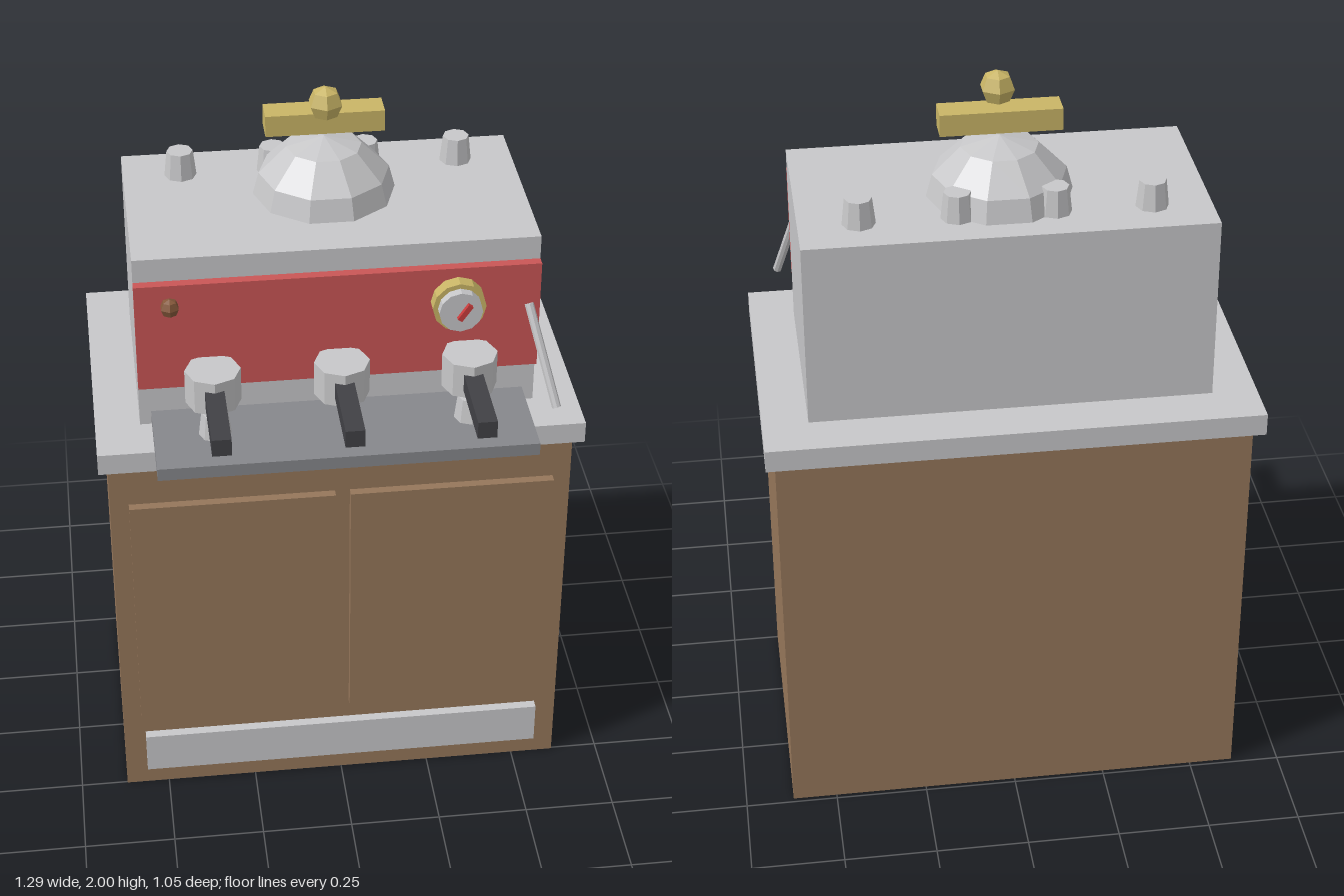
import * as THREE from 'three';

const mat = (name, color) => {
  const m = new THREE.MeshStandardMaterial({ color, flatShading: true });
  m.name = name;
  return m;
};

export function createModel() {
  const steel = mat('steel', 0xc7c7c9);
  const wood = mat('wood', 0x95765a);
  const red = mat('red panel', 0xc95656);
  const brass = mat('brass', 0xc9b566);
  const trayGrey = mat('tray grey', 0x86878b);
  const black = mat('black handle', 0x414145);
  const amber = mat('indicator brown', 0x85583a);
  const needleRed = mat('needle red', 0xc83c3c);

  const model = new THREE.Group();
  model.name = 'espressoStation';

  const add = (name, geometry, material, x = 0, y = 0, z = 0) => {
    const mesh = new THREE.Mesh(geometry, material);
    mesh.name = name;
    mesh.position.set(x, y, z);
    model.add(mesh);
    return mesh;
  };
  // Box given by its limits on each axis
  const box = (name, material, [x0, x1], [y0, y1], [z0, z1]) =>
    add(name, new THREE.BoxGeometry(x1 - x0, y1 - y0, z1 - z0), material,
      (x0 + x1) / 2, (y0 + y1) / 2, (z0 + z1) / 2);
  const cup = (name, x, y, z, h) =>
    add(name, new THREE.CylinderGeometry(0.035, 0.043, h, 8), steel, x, y + h / 2, z);
  // Disc facing the front
  const disc = (name, material, r, x, y, z0, z1) => {
    const g = new THREE.CylinderGeometry(r, r, z1 - z0, 12).rotateX(Math.PI / 2);
    return add(name, g, material, x, y, (z0 + z1) / 2);
  };

  // Cabinet with two doors and a kick plate
  box('cabinet', wood, [-0.62, 0.62], [0, 1.12], [-0.487, 0.254]);
  for (const s of [-1, 1]) {
    const xs = [s * 0.02, s * 0.57].sort((a, b) => a - b);
    box(s > 0 ? 'leftDoor' : 'rightDoor', wood, xs, [0.255, 0.997], [0.262, 0.286]);
  }
  box('kickPlate', steel, [-0.56, 0.56], [0.068, 0.19], [0.25, 0.28]);
  box('countertop', steel, [-0.645, 0.645], [1.12, 1.18], [-0.527, 0.29]);

  // Machine body, front panel and drip tray
  box('machineBody', steel, [-0.526, 0.526], [1.18, 1.68], [-0.403, 0.157]);
  box('frontPanel', red, [-0.526, 0.526], [1.307, 1.615], [0.157, 0.183]);
  box('dripTray', trayGrey, [-0.495, 0.495], [1.185, 1.22], [0.157, 0.425]);

  // Faceted dome with a brass bar and ball above it
  add('dome', new THREE.SphereGeometry(0.2, 10, 3, 0, Math.PI * 2, 0, Math.PI / 2),
    steel, 0, 1.64, -0.157);
  box('domeBar', brass, [-0.156, 0.156], [1.862, 1.92], [-0.196, -0.122]);
  add('domeBall', new THREE.SphereGeometry(0.047, 6, 4).rotateY(Math.PI / 6),
    brass, 0, 1.953, -0.118);

  // Cups along the top
  for (const x of [-0.372, -0.124, 0.124, 0.372]) cup('topCup', x, 1.68, -0.283, 0.072);

  // Group heads with handles, cups below the outer two
  for (const x of [-0.335, 0, 0.335]) {
    add('groupHead', new THREE.CylinderGeometry(0.073, 0.073, 0.096, 8), steel, x, 1.347, 0.243);
    box('groupHandle', black, [x - 0.025, x + 0.025], [1.32, 1.368], [0.26, 0.525]);
    if (x) cup('trayCup', x, 1.22, 0.277, 0.066);
  }

  // Pressure gauge
  disc('gaugeRim', brass, 0.07, 0.308, 1.52, 0.18, 0.22);
  disc('gaugeFace', steel, 0.057, 0.308, 1.52, 0.22, 0.245);
  const needle = add('gaugeNeedle', new THREE.BoxGeometry(0.014, 0.05, 0.012),
    needleRed, 0.316, 1.527, 0.257);
  needle.rotation.z = -0.6;

  // Indicator lamp
  add('indicatorLamp', new THREE.SphereGeometry(0.026, 6, 4).rotateY(Math.PI / 6),
    amber, -0.436, 1.558, 0.195);

  // Steam wand slanting out from the panel
  const top = new THREE.Vector3(0.497, 1.497, 0.183);
  const tip = new THREE.Vector3(0.56, 1.245, 0.3);
  const dir = top.clone().sub(tip);
  const wand = add('steamWand', new THREE.CylinderGeometry(0.012, 0.012, dir.length(), 8), steel);
  wand.position.copy(top).add(tip).multiplyScalar(0.5);
  wand.quaternion.setFromUnitVectors(new THREE.Vector3(0, 1, 0), dir.normalize());

  return model;
}
